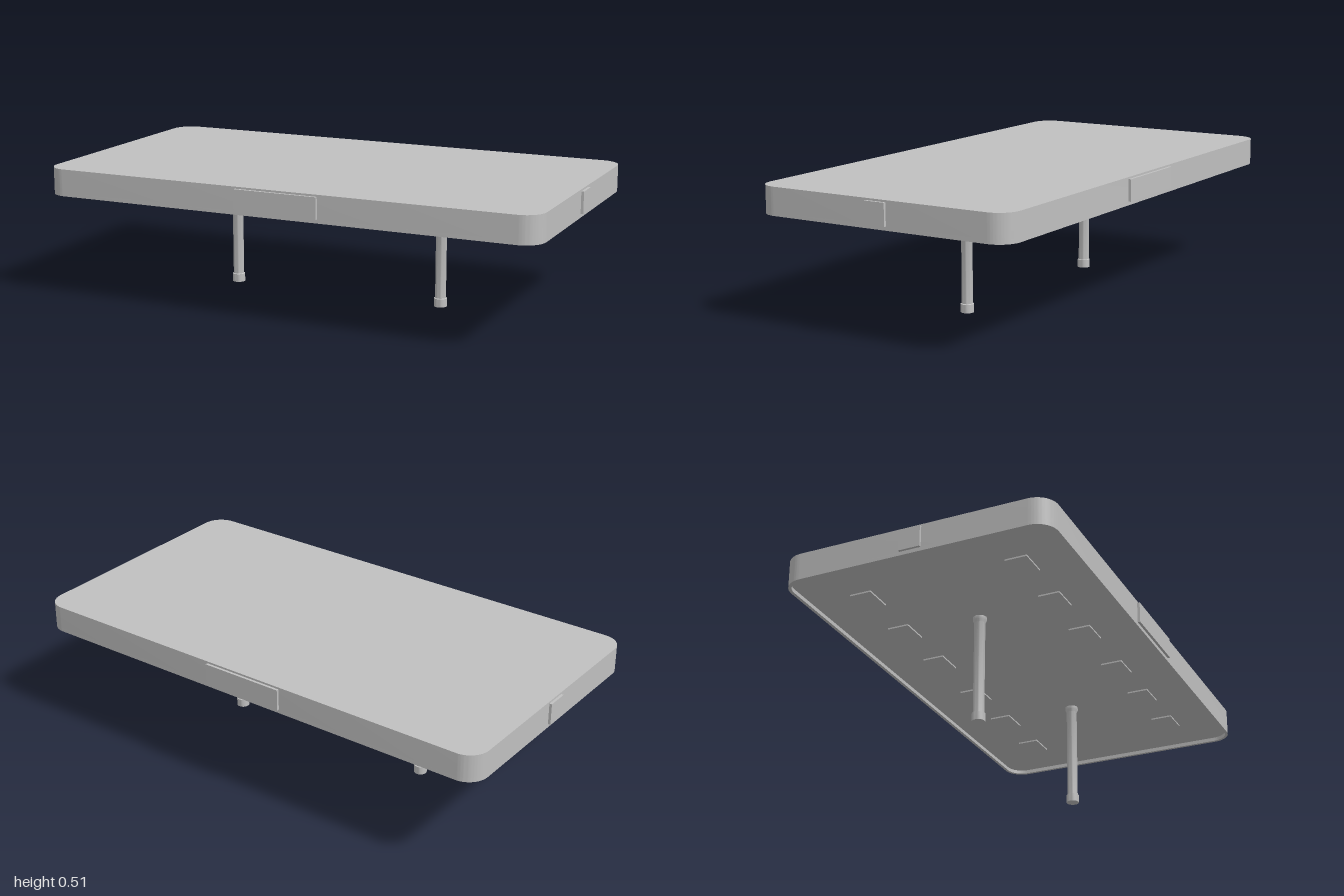
import * as THREE from 'three';
import { toCreasedNormals } from 'three/addons/utils/BufferGeometryUtils.js';

const HALF_X = 0.99, HALF_Z = 0.525, RADIUS = 0.08;
const BOTTOM = 0.41, TOP = 0.515, RECESS = 0.015, LIP = 0.012;

// Traces a rounded rectangle centred on the origin
function roundedRect(path, w, h, r) {
  path.moveTo(w - r, -h);
  path.absarc(w - r, -h + r, r, -Math.PI / 2, 0, false);
  path.absarc(w - r, h - r, r, 0, Math.PI / 2, false);
  path.absarc(-w + r, h - r, r, Math.PI / 2, Math.PI, false);
  path.absarc(-w + r, -h + r, r, Math.PI, Math.PI * 1.5, false);
  path.closePath();
  return path;
}

// Extrudes a shape upwards from height y
function slab(shape, y, height) {
  const geo = new THREE.ExtrudeGeometry(shape, { depth: height, bevelEnabled: false, curveSegments: 12 });
  geo.rotateX(-Math.PI / 2);
  geo.translate(0, y, 0);
  return toCreasedNormals(geo, 0.6);
}

export function createModel() {
  const model = new THREE.Group();
  model.name = 'panelOnPosts';
  const grey = new THREE.MeshStandardMaterial({ color: 0xc0c0c0 });
  grey.name = 'light grey';

  const add = (name, geo, x = 0, y = 0, z = 0) => {
    const mesh = new THREE.Mesh(geo, grey);
    mesh.name = name;
    mesh.position.set(x, y, z);
    model.add(mesh);
  };

  // Main slab and the thin lip around its recessed underside
  const outline = () => roundedRect(new THREE.Shape(), HALF_X, HALF_Z, RADIUS);
  add('slab', slab(outline(), BOTTOM + RECESS, TOP - BOTTOM - RECESS));
  const rim = outline();
  rim.holes.push(roundedRect(new THREE.Path(), HALF_X - LIP, HALF_Z - LIP, RADIUS - LIP));
  add('lip', slab(rim, BOTTOM, RECESS));

  // Raised plates in the middle of each edge
  const longPlate = new THREE.BoxGeometry(0.33, 0.083, 0.01);
  const endPlate = new THREE.BoxGeometry(0.01, 0.083, 0.084);
  for (const s of [-1, 1]) {
    add(s > 0 ? 'frontPlate' : 'backPlate', longPlate, 0, 0.466, s * (HALF_Z + 0.005));
    add(s > 0 ? 'leftPlate' : 'rightPlate', endPlate, s * (HALF_X + 0.005), 0.466, 0);
  }

  // Two rows of small pads on the underside
  const pad = new THREE.BoxGeometry(0.115, 0.006, 0.085);
  for (const z of [-0.31, 0.31])
    for (const x of [0.163, 0.45, 0.735])
      for (const s of [-1, 1]) add('undersidePad', pad, s * x, BOTTOM + RECESS - 0.003, z);

  // Posts with a thicker foot and a flared collar
  const profile = [
    [0, 0], [0.025, 0], [0.025, 0.032], [0.021, 0.034],
    [0.021, 0.402], [0.026, 0.412], [0.026, 0.427], [0, 0.427],
  ].map(([r, y]) => new THREE.Vector2(r, y));
  const post = toCreasedNormals(new THREE.LatheGeometry(profile, 24), 0.6);
  for (const s of [-1, 1]) add(s > 0 ? 'leftPost' : 'rightPost', post, s * 0.438);

  return model;
}
